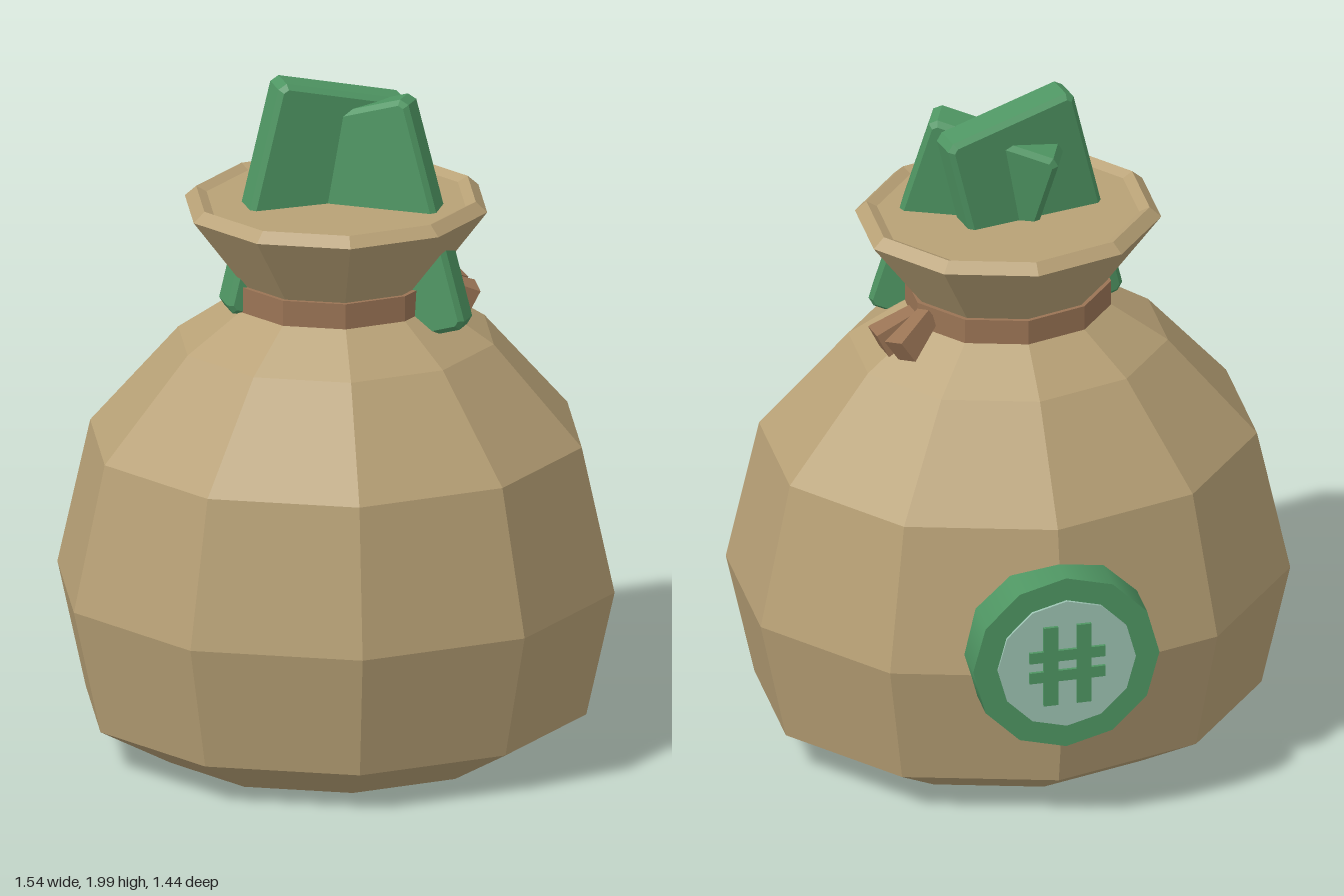
import * as THREE from 'three';

const mat = (name, color) => {
  const m = new THREE.MeshStandardMaterial({ color });
  m.name = name;
  return m;
};

// Hard facets for the low-poly parts
function facet(geo) {
  const g = geo.index ? geo.toNonIndexed() : geo;
  g.computeVertexNormals();
  return g;
}

// Ten-sided turned shape, slightly flattened from front to back
function turned(profile) {
  const points = profile.map(([r, y]) => new THREE.Vector2(r, y));
  return facet(new THREE.LatheGeometry(points, 10).scale(1, 1, 0.865).translate(0, 0, 0.022));
}

// Bundle of notes: a block with clipped corners and chamfered edges
function bundleGeometry(w, h, d) {
  const b = 0.014, c = 0.012;
  const x = w / 2 - b, y = h / 2 - b;
  const shape = new THREE.Shape([
    [x, -y + c], [x, y - c], [x - c, y], [-x + c, y],
    [-x, y - c], [-x, -y + c], [-x + c, -y], [x - c, -y],
  ].map(([px, py]) => new THREE.Vector2(px, py)));
  const geo = new THREE.ExtrudeGeometry(shape, {
    depth: d - 2 * b, bevelEnabled: true, bevelThickness: b, bevelSize: b, bevelSegments: 1,
  });
  return facet(geo.translate(0, 0, -d / 2 + b));
}

// Box whose far (+x) end is scaled by k
function flaredBox(l, h, d, k) {
  const geo = new THREE.BoxGeometry(l, h, d);
  const p = geo.attributes.position;
  for (let i = 0; i < p.count; i++) {
    if (p.getX(i) > 0) p.setXYZ(i, p.getX(i), p.getY(i) * k, p.getZ(i) * k);
  }
  return facet(geo);
}

export function createModel() {
  const cloth = mat('sackcloth', 0xb8a176);
  const rope = mat('brown cord', 0x9a7455);
  const green = mat('note green', 0x4f9663);
  const pale = mat('pale green', 0x9cc3b2);

  const model = new THREE.Group();
  model.name = 'sackOfNotes';
  const add = (name, geo, material, pos = [0, 0, 0], rot = [0, 0, 0], parent = model) => {
    const mesh = new THREE.Mesh(geo, material);
    mesh.name = name;
    mesh.position.set(...pos);
    mesh.rotation.set(...rot, 'YXZ');
    parent.add(mesh);
    return mesh;
  };

  // Sack with a flared mouth and a shallow filled top
  add('sack', turned([
    [0, 0], [0.51, 0], [0.725, 0.12], [0.807, 0.49], [0.712, 0.92], [0.457, 1.215],
    [0.28, 1.335], [0.278, 1.395], [0.438, 1.61], [0.405, 1.64], [0.375, 1.625], [0, 1.625],
  ]), cloth);

  // Cord around the neck
  add('neckCord', turned([
    [0.26, 1.32], [0.295, 1.32], [0.295, 1.4], [0.26, 1.4],
  ]), rope);

  // Loose cord ends on the left side
  const knot = new THREE.Group();
  knot.name = 'knot';
  model.add(knot);
  add('cordEndFront', flaredBox(0.13, 0.06, 0.06, 1.3), rope, [0.335, 1.315, -0.045], [0.1, 0.1, -0.45], knot);
  add('cordEndBack', flaredBox(0.14, 0.05, 0.05, 1.5), rope, [0.305, 1.335, -0.115], [0.3, 0.5, -0.5], knot);

  // Two crossed bundles, whose lower corners poke out of the neck
  add('bundleBack', bundleGeometry(0.4, 0.69, 0.105), green, [-0.06, 1.615, 0.012], [0, 0.2, -0.235]);
  add('bundleFront', bundleGeometry(0.385, 0.68, 0.105), green, [0.112, 1.565, 0.067], [-0.1, -0.4, 0.29]);

  // Round badge on the back
  const badge = new THREE.Group();
  badge.name = 'badge';
  badge.position.set(0, 0.55, 0);
  model.add(badge);
  const disc = (r, zNear, zFar) =>
    new THREE.CylinderGeometry(r, r, zNear - zFar, 12)
      .rotateX(-Math.PI / 2).translate(0, 0, (zNear + zFar) / 2);
  add('badgeRim', disc(0.27, -0.54, -0.698), green, undefined, undefined, badge);
  add('badgeFace', disc(0.2, -0.697, -0.706), pale, undefined, undefined, badge);

  // Raised hatch of crossing bars
  for (const s of [-1, 1]) {
    add('hatchUpright', new THREE.BoxGeometry(0.042, 0.25, 0.009), green, [s * 0.048, 0, -0.7105], undefined, badge);
    add('hatchCrossbar', new THREE.BoxGeometry(0.22, 0.034, 0.0088), green, [0, s * 0.032, -0.7104], undefined, badge);
  }
  return model;
}
